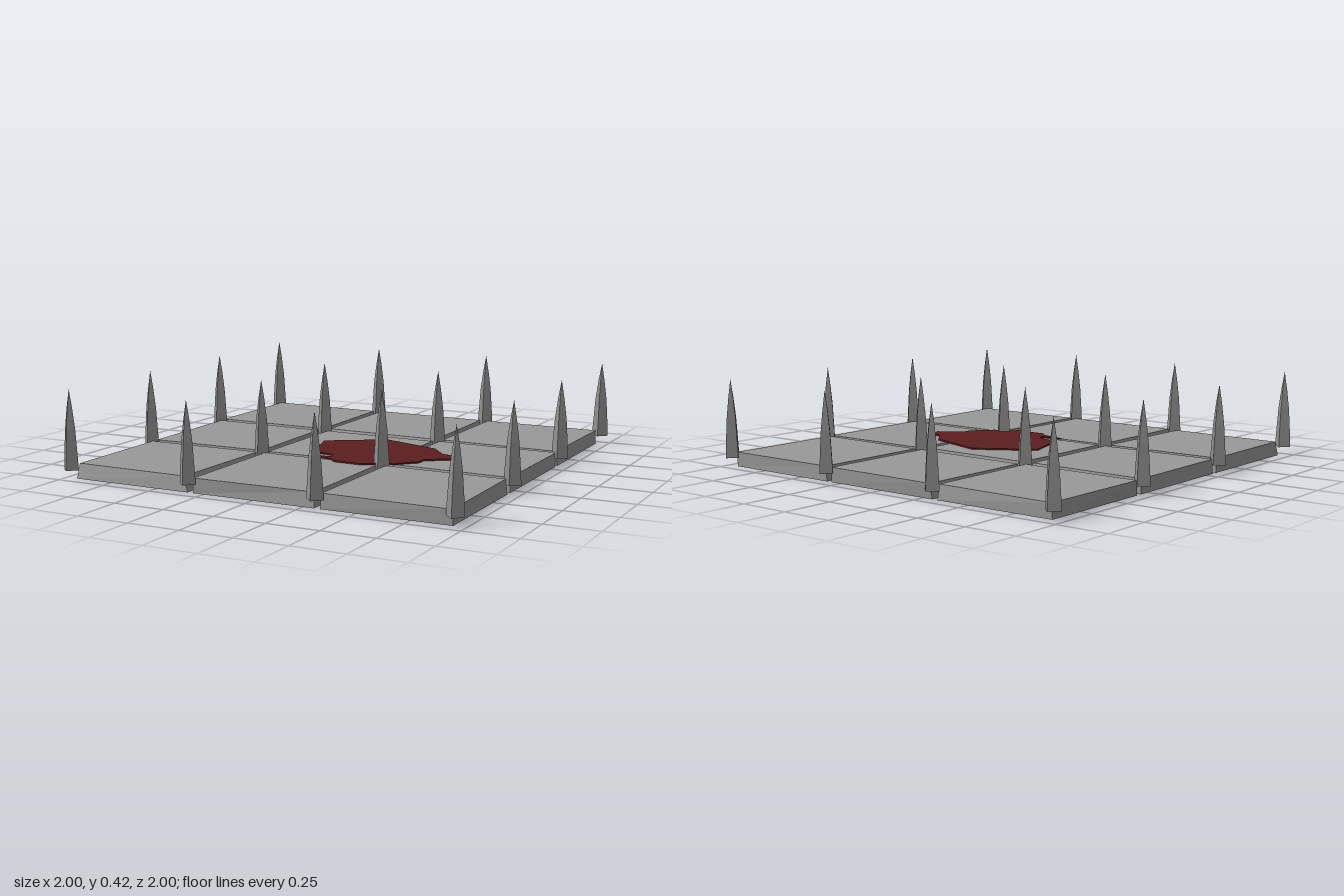
import * as THREE from 'three';

const stone = new THREE.MeshStandardMaterial({ color: 0x999999 });
stone.name = 'stone grey';
const iron = new THREE.MeshStandardMaterial({ color: 0x8f8f8f });
iron.name = 'spike grey';
const red = new THREE.MeshStandardMaterial({ color: 0x5a1e1e });
red.name = 'dark red';

// Separate faces so every facet gets its own normal
function faceted(geometry) {
  const g = geometry.index ? geometry.toNonIndexed() : geometry;
  g.computeVertexNormals();
  return g;
}

// Upper corners of each slab (x, z): back left, back right, front right, front left
const slabTops = [
  [-0.94, -0.945, -0.34, -0.935, -0.34, -0.342, -0.95, -0.347],
  [-0.297, -0.95, 0.297, -0.945, 0.297, -0.345, -0.307, -0.357],
  [0.34, -0.94, 0.94, -0.945, 0.933, -0.337, 0.335, -0.347],
  [-0.945, -0.305, -0.345, -0.295, -0.34, 0.29, -0.94, 0.3],
  [-0.292, -0.3, 0.302, -0.295, 0.297, 0.3, -0.297, 0.295],
  [0.335, -0.31, 0.943, -0.31, 0.94, 0.3, 0.34, 0.29],
  [-0.94, 0.338, -0.34, 0.328, -0.355, 0.93, -0.935, 0.924],
  [-0.297, 0.328, 0.302, 0.328, 0.302, 0.935, -0.297, 0.946],
  [0.345, 0.328, 0.933, 0.333, 0.94, 0.946, 0.34, 0.94],
];

// Box with a level base and a slightly skewed top
function slabGeometry(top, cx, cz) {
  const g = new THREE.BoxGeometry(1, 1, 1);
  const p = g.attributes.position;
  for (let i = 0; i < p.count; i++) {
    const sx = Math.sign(p.getX(i)), sz = Math.sign(p.getZ(i));
    const corner = sz < 0 ? (sx < 0 ? 0 : 1) : (sx > 0 ? 2 : 3);
    if (p.getY(i) > 0) p.setXYZ(i, top[corner * 2], 0.07, top[corner * 2 + 1]);
    else p.setXYZ(i, cx + sx * 0.304, 0, cz + sz * 0.304);
  }
  return faceted(g);
}

export function createModel() {
  const model = new THREE.Group();
  model.name = 'spikedFloor';

  // Nine floor slabs
  slabTops.forEach((top, i) => {
    const cx = ((i % 3) - 1) * 0.637;
    const cz = (Math.floor(i / 3) - 1) * 0.637;
    const slab = new THREE.Mesh(slabGeometry(top, cx, cz), stone);
    slab.name = 'floorSlab';
    model.add(slab);
  });

  // Four-sided spikes at every slab corner
  const profile = [[0, 0.045], [0.042, 0.045], [0.039, 0.1], [0.029, 0.235], [0.016, 0.33], [0, 0.42]]
    .map(([r, y]) => new THREE.Vector2(r, y));
  const spikeGeometry = faceted(new THREE.LatheGeometry(profile, 4));
  const stops = [-0.958, -0.319, 0.319, 0.958];
  for (const x of stops) {
    for (const z of stops) {
      const spike = new THREE.Mesh(spikeGeometry, iron);
      spike.name = 'spike';
      spike.position.set(x, 0, z);
      model.add(spike);
    }
  }

  // Thin stain lying over the middle slabs (x, z outline)
  const outline = [
    [0.1, -0.198], [0.405, -0.097], [0.485, 0], [0.537, 0.016], [0.575, 0.086],
    [0.46, 0.16], [0.46, 0.214], [0.4, 0.275], [0.375, 0.31], [0.33, 0.318], [0.245, 0.374],
    [0.1, 0.37], [0.065, 0.335], [-0.065, 0.305], [0.045, 0.29], [0.03, 0.25],
    [-0.04, 0.235], [-0.1, 0.182], [-0.168, -0.03],
  ];
  const shape = new THREE.Shape(outline.map(([x, z]) => new THREE.Vector2(x, -z)));
  const stainGeometry = new THREE.ExtrudeGeometry(shape, { depth: 0.007, bevelEnabled: false });
  stainGeometry.rotateX(-Math.PI / 2);
  const stain = new THREE.Mesh(stainGeometry, red);
  stain.name = 'stain';
  stain.position.y = 0.071;
  model.add(stain);

  return model;
}
